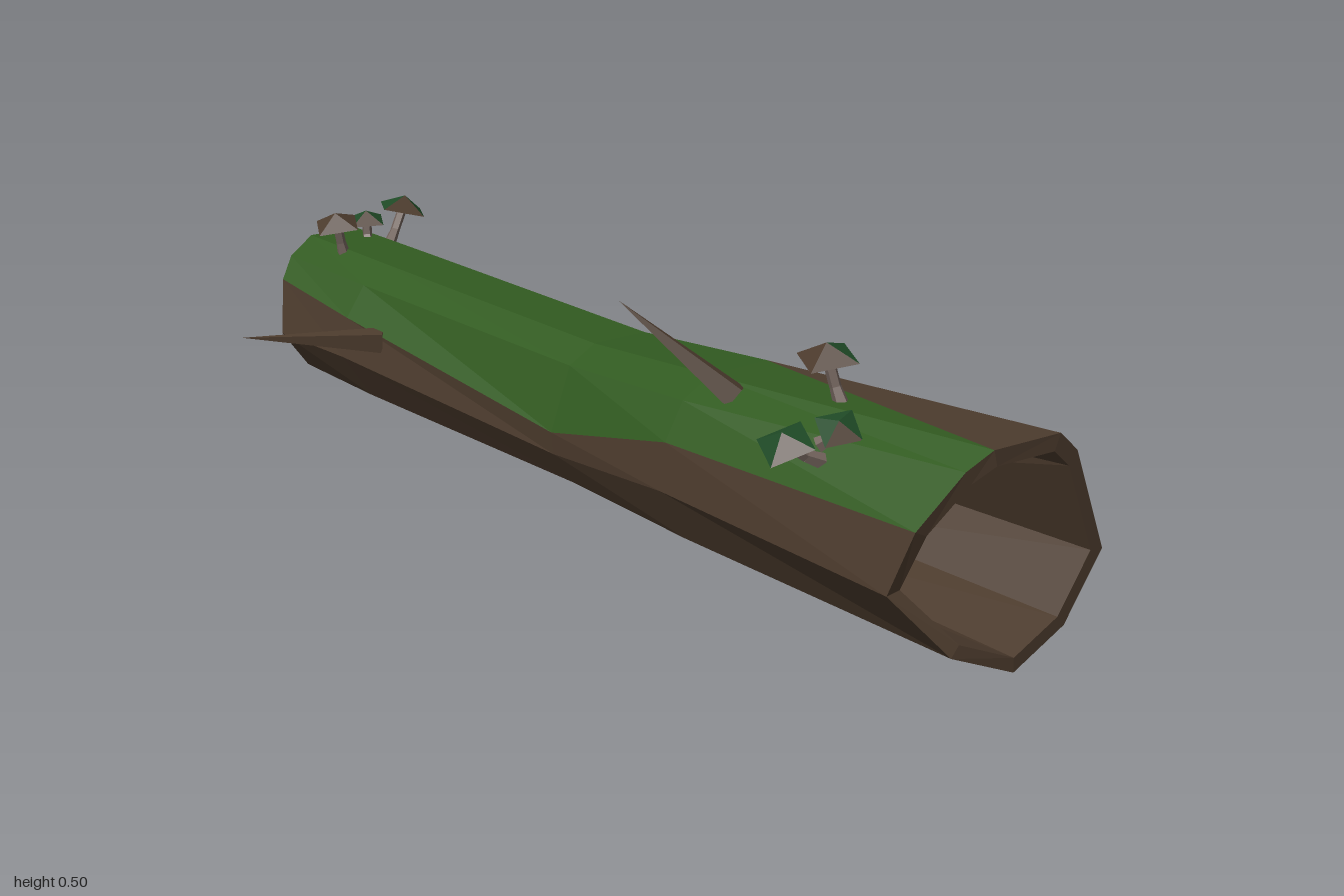
import * as THREE from 'three';

const mat = (name, color) => Object.assign(new THREE.MeshStandardMaterial({ color }), { name });
const V = (a) => new THREE.Vector3(...a);

// Log cross-sections from front to back, each running bottom, right, top, left as x, y
const SECTIONS = [
  { z: 1, p: [[.08, 0], [.2, .05], [.285, .165], [.2, .355], [.155, .393], [.01, .393], [-.03, .36], [-.115, .275], [-.14, .165], [-.05, .055]] },
  { z: .34, p: [[.08, .012], [.19, .05], [.265, .155], [.24, .275], [.14, .357], [.005, .355], [-.06, .32], [-.1, .25], [-.11, .16], [-.05, .055]] },
  { z: 0, p: [[.08, .018], [.18, .055], [.25, .15], [.215, .265], [.135, .333], [.01, .333], [-.05, .3], [-.095, .175], [-.09, .13], [-.04, .06]] },
  { z: -.7, p: [[.07, .025], [.17, .065], [.225, .185], [.195, .27], [.115, .352], [-.01, .352], [-.07, .315], [-.115, .25], [-.13, .165], [-.06, .065]] },
  { z: -1, p: [[.06, .03], [.16, .07], [.2, .225], [.18, .31], [.1, .362], [-.02, .362], [-.08, .325], [-.115, .28], [-.14, .165], [-.06, .07]] },
];
// Uneven cut at both ends
const FRONT_CUT = [0, 0, 0, 0, 0, -.01, -.03, -.05, -.08, -.02];
const BACK_CUT = [.03, .01, 0, 0, 0, 0, .01, .03, .06, .03];
const N = 10;

function flat(positions) {
  const g = new THREE.BufferGeometry();
  g.setAttribute('position', new THREE.Float32BufferAttribute(positions, 3));
  g.computeVertexNormals();
  return g;
}

// Hollow shell: outer skin, shrunken inner skin and a rim along every open edge
function buildLog(bark, moss) {
  const outer = [], inner = [];
  SECTIONS.forEach((s, k) => s.p.forEach(([x, y], i) => {
    const z = s.z + (k === 0 ? FRONT_CUT[i] : k === 4 ? BACK_CUT[i] : 0);
    outer.push([x, y, z]);
    inner.push([.07 + (x - .07) * .86, .19 + (y - .19) * .86, z]);
  }));

  const barkTris = [], mossTris = [];
  for (let k = 0; k < 4; k++) {
    for (let i = 0; i < N; i++) {
      const j = (i + 1) % N;
      const a = k * N + i, a2 = k * N + j, b = a + N, b2 = a2 + N;
      const mossy = (i >= 4 && i <= 6) || (i === 3 && k > 0);
      if (k === 3 && i === 2) barkTris.push([a, b, a2]); // split at the back right
      else if (k === 3 && i === 3) mossTris.push([a, b2, a2]);
      else {
        (mossy && !(k === 0 && i === 4) ? mossTris : barkTris).push([a, b, a2]);
        (mossy ? mossTris : barkTris).push([b, b2, a2]);
      }
    }
  }

  const all = [...barkTris, ...mossTris];
  const edges = new Set(all.flatMap(([a, b, c]) => [`${a},${b}`, `${b},${c}`, `${c},${a}`]));
  const wood = barkTris.flat().flatMap((n) => outer[n]);
  all.forEach(([a, b, c]) => wood.push(...inner[a], ...inner[c], ...inner[b]));
  edges.forEach((e) => {
    const [p, q] = e.split(',').map(Number);
    if (edges.has(`${q},${p}`)) return;
    wood.push(...outer[q], ...outer[p], ...inner[p], ...outer[q], ...inner[p], ...inner[q]);
  });

  const trunk = new THREE.Mesh(flat(wood), bark);
  trunk.name = 'hollowLog';
  const cover = new THREE.Mesh(flat(mossTris.flat().flatMap((n) => outer[n])), moss);
  cover.name = 'mossCover';
  return [trunk, cover];
}

// Faceted tapered rod between two points
function rod(name, from, to, r0, r1, sides, material) {
  const a = V(from), b = V(to), dir = b.clone().sub(a);
  const g = new THREE.CylinderGeometry(r1, r0, dir.length(), sides).toNonIndexed();
  g.computeVertexNormals();
  const m = new THREE.Mesh(g, material);
  m.position.copy(a).add(b).multiplyScalar(.5);
  m.quaternion.setFromUnitVectors(new THREE.Vector3(0, 1, 0), dir.normalize());
  m.name = name;
  return m;
}

// Bent stem with a four-sided cap, some of whose faces are green
function mushroom({ root, cap, axis, r, green }, mats) {
  const group = new THREE.Group();
  group.name = 'mushroom';
  const n = V(axis).normalize();
  const bend = V(root).lerp(V(cap), .5).addScaledVector(n, -.008).toArray();
  group.add(rod('stemBase', root, bend, .015, .011, 5, mats.stem));
  group.add(rod('stemTop', bend, cap, .011, .011, 5, mats.stem));

  const g = new THREE.ConeGeometry(r, r * .5, 4).toNonIndexed();
  g.computeVertexNormals();
  g.clearGroups();
  if (green) g.addGroup(0, green * 3, 0);
  g.addGroup(green * 3, g.attributes.position.count - green * 3, 1);
  const top = new THREE.Mesh(g, [mats.cap, mats.bark]);
  top.name = 'mushroomCap';
  top.position.copy(V(cap)).addScaledVector(n, r * .2);
  top.quaternion.setFromUnitVectors(new THREE.Vector3(0, 1, 0), n);
  top.rotateY(.3);
  group.add(top);
  return group;
}

export function createModel() {
  const model = new THREE.Group();
  model.name = 'mossyLog';
  const mats = {
    bark: mat('bark brown', 0x4c3b2d),
    moss: mat('moss green', 0x315a20),
    cap: mat('cap green', 0x1f4a26),
    stem: mat('stem grey', 0x71625b),
  };
  model.add(...buildLog(mats.bark, mats.moss));

  // Broken twigs
  model.add(rod('leftTwig', [-.1, .225, -.58], [-.335, .23, -.765], .03, 0, 4, mats.bark));
  model.add(rod('upperTwig', [-.015, .34, .43], [-.135, .497, .25], .028, 0, 4, mats.bark));

  // Splinters along the split
  [
    [[.205, .25, -.72], [.245, .22, 0], .014],
    [[.19, .265, -.65], [.17, .29, -.99], .025],
    [[.16, .3, -.68], [.15, .325, -.99], .03],
    [[.21, .22, -.6], [.2, .26, -.93], .02],
  ].forEach(([from, to, r]) => model.add(rod('splinter', from, to, r, .003, 4, mats.bark)));

  // Mushrooms
  [
    { root: [-.07, .31, .7], cap: [-.135, .35, .68], axis: [-.45, .85, .1], r: .055, green: 3 },
    { root: [-.06, .33, .68], cap: [-.045, .365, .71], axis: [-.4, .8, .4], r: .045, green: 3 },
    { root: [.045, .36, .63], cap: [.035, .445, .6], axis: [-.2, 1, .05], r: .06, green: 1 },
    { root: [-.02, .345, -.86], cap: [-.035, .415, -.86], axis: [-.2, 1, .1], r: .06, green: 0 },
    { root: [.11, .34, -.88], cap: [.17, .415, -.91], axis: [.2, 1, .1], r: .065, green: 3 },
    { root: [.08, .345, -.92], cap: [.085, .395, -.93], axis: [-.1, 1, .1], r: .05, green: 3 },
    { root: [.2, .22, -.41], cap: [.275, .23, -.41], axis: [.25, 1, .1], r: .055, green: 3 },
  ].forEach((m) => model.add(mushroom(m, mats)));

  return model;
}
